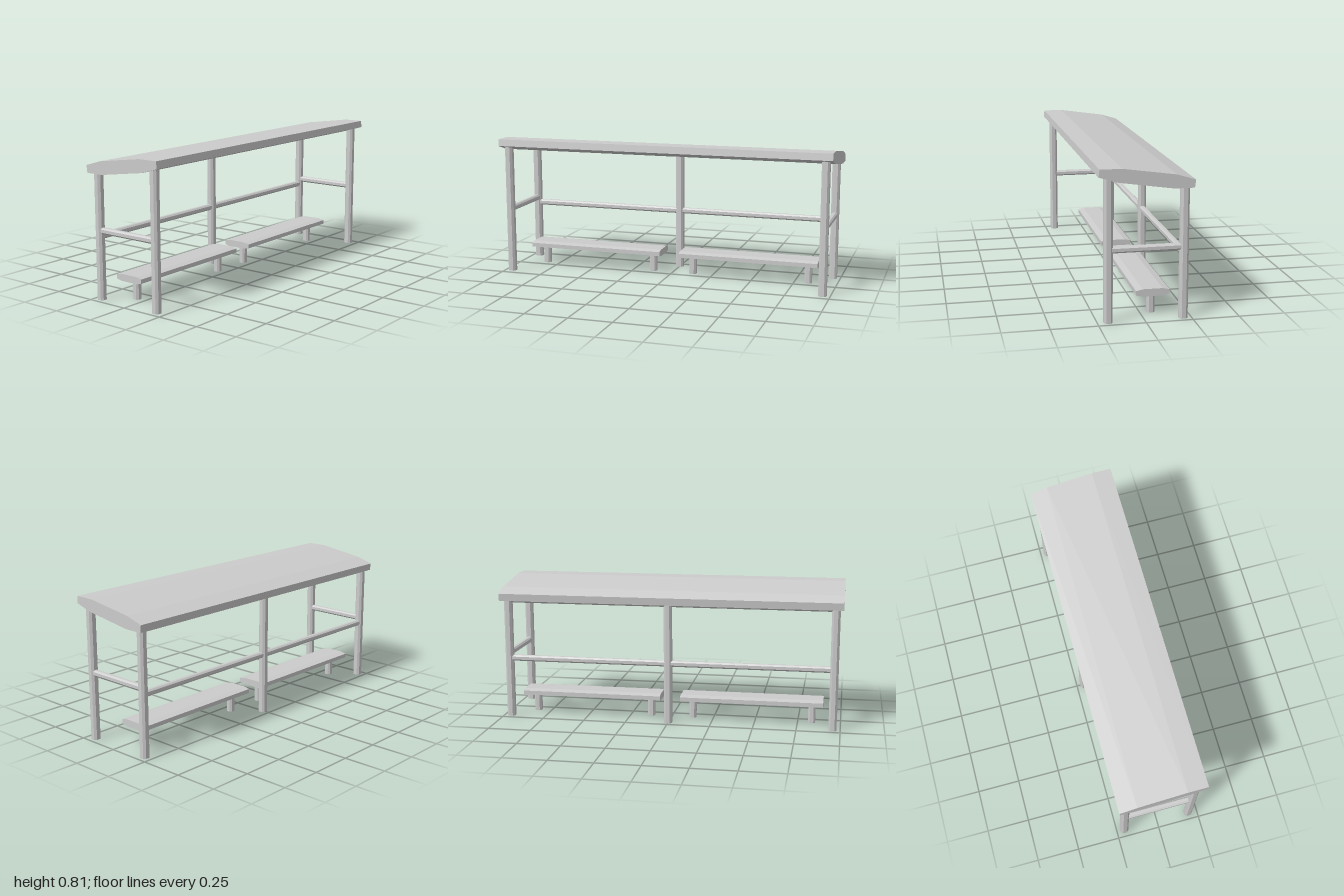
import * as THREE from 'three';

const material = new THREE.MeshStandardMaterial({ color: 0xcccccc, flatShading: true });

// Prism along +z, centred on z = 0
function prism(points, length) {
  const shape = new THREE.Shape(points.map(([x, y]) => new THREE.Vector2(x, y)));
  const g = new THREE.ExtrudeGeometry(shape, { depth: length, bevelEnabled: false });
  return g.translate(0, 0, -length / 2);
}

// Square bar with chamfered edges
function bar(width, length) {
  const h = width / 2, c = h * 0.5;
  return prism([[-c, -h], [c, -h], [h, -c], [h, c], [c, h], [-c, h], [-h, c], [-h, -c]], length);
}

export function createModel() {
  const model = new THREE.Group();

  function add(name, geometry, x, y, z) {
    const mesh = new THREE.Mesh(geometry, material);
    mesh.name = name;
    mesh.position.set(x, y, z);
    model.add(mesh);
  }

  function upright(name, width, height, x, z) {
    add(name, bar(width, height).rotateX(-Math.PI / 2), x, height / 2, z);
  }

  const postX = 0.194, backX = -0.205, endZ = 0.956, postW = 0.046, railW = 0.034;

  // Sloping roof slab
  add('roof', prism([
    [-0.245, 0.703], [-0.14, 0.703], [0.15, 0.745], [0.25, 0.775],
    [0.245, 0.815], [0.13, 0.815], [-0.15, 0.775], [-0.25, 0.745],
  ], 2), 0, 0, 0);

  // Posts: three on the low side, two on the high side
  for (const z of [-endZ, 0, endZ]) upright('lowPost', postW, 0.72, backX, z);
  for (const z of [-endZ, endZ]) upright('highPost', postW, 0.77, postX, z);

  for (const s of [-1, 1]) {
    // Rails
    add('sideRail', bar(railW, 0.37).rotateY(Math.PI / 2), -0.006, 0.388, s * endZ);
    add('longRail', bar(railW, 0.92), backX, 0.356, s * endZ / 2);
    add('topRail', bar(railW, 0.92), backX, 0.707, s * endZ / 2);

    // Bench with two legs
    add('benchSeat', prism([
      [-0.11, 0.107], [-0.003, 0.107], [0.033, 0.115], [0.033, 0.139],
      [-0.003, 0.147], [-0.11, 0.147], [-0.147, 0.139], [-0.147, 0.115],
    ], 0.838), 0, 0, s * 0.479);
    for (const z of [0.126, 0.832]) upright('benchLeg', 0.042, 0.11, -0.059, s * z);
  }

  return model;
}
